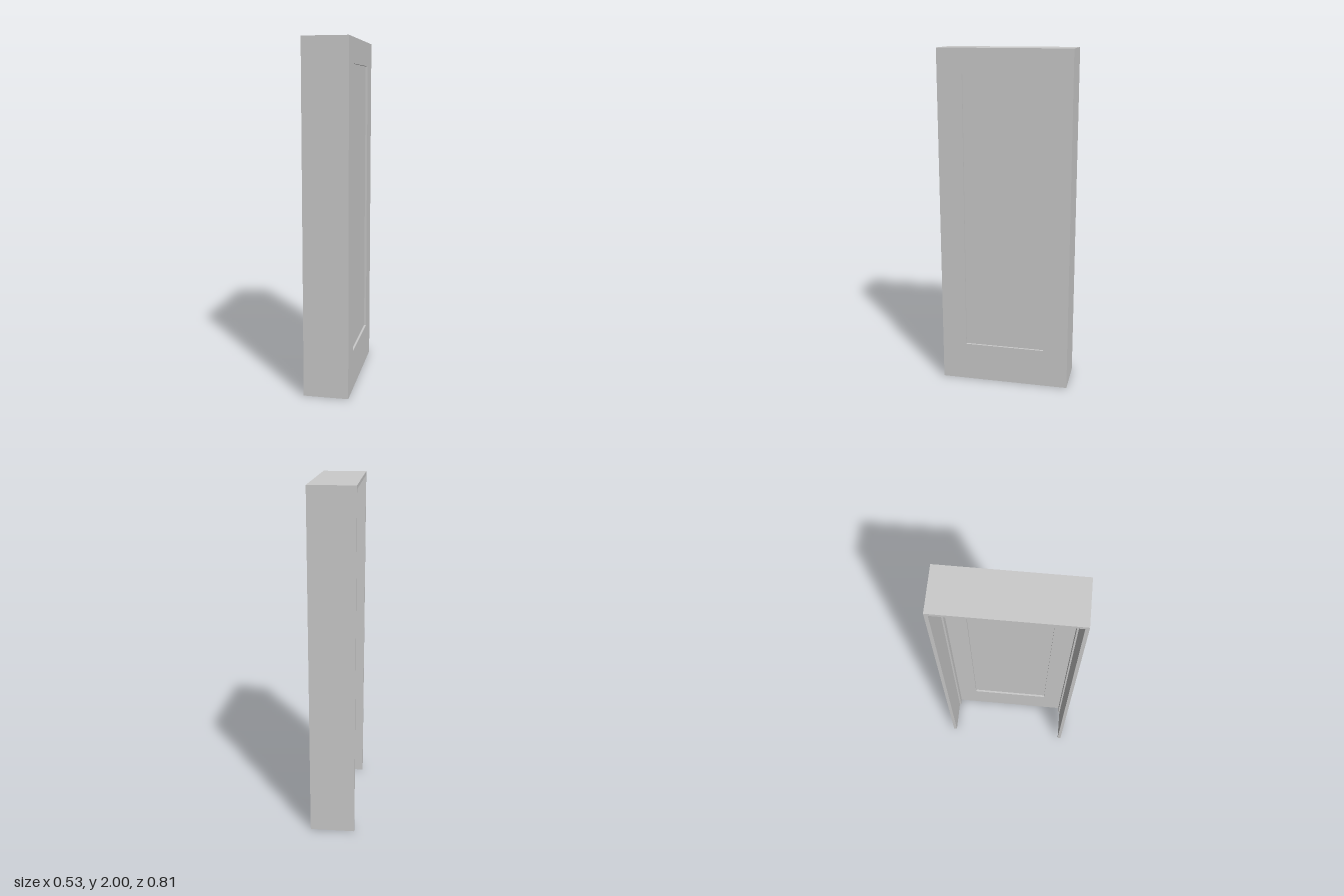
import * as THREE from 'three';

const H = 2, L = 0.769, W = 0.258;  // height, width of the door side, depth
const WALL = 0.02, DOOR = 0.035;    // casing and door thickness
const STOP = 0.01;                  // how far the stop stands inside the casing
const RECESS = 0.012;               // depth of the panel recess on both sides

// Extrudes a shape drawn in (z, y) inwards from x = outer
function extrudeIn(name, shape, outer, depth, material) {
  const geometry = new THREE.ExtrudeGeometry(shape, { depth, bevelEnabled: false });
  geometry.rotateY(-Math.PI / 2).translate(outer, 0, 0);
  const mesh = new THREE.Mesh(geometry, material);
  mesh.name = name;
  return mesh;
}

// Outline open at the floor: two uprights joined by a head
function arch(inset, t) {
  const a = L / 2 - inset, b = a - t, top = H - inset;
  return new THREE.Shape([
    [-a, 0], [-b, 0], [-b, top - t], [b, top - t], [b, 0], [a, 0], [a, top], [-a, top],
  ].map(([z, y]) => new THREE.Vector2(z, y)));
}

function rectangle(Type, z, y0, y1) {
  return new Type([[-z, y0], [z, y0], [z, y1], [-z, y1]].map(([a, b]) => new THREE.Vector2(a, b)));
}

export function createModel() {
  const model = new THREE.Group();
  model.name = 'doorway';
  const material = new THREE.MeshStandardMaterial({ color: 0xcccccc });
  const front = W / 2, back = front - DOOR;

  // Casing: side walls and top behind the door
  model.add(extrudeIn('casing', arch(0, WALL), back, W - DOOR, material));

  // Stop strip lining the casing against the door
  model.add(extrudeIn('doorStop', arch(WALL, STOP), back, DOOR, material));

  // Door frame with an opening, and the thinner panel set in it
  const panelZ = 0.239, panelBottom = 0.23, panelTop = 1.86;
  const frame = rectangle(THREE.Shape, L / 2, 0, H);
  frame.holes.push(rectangle(THREE.Path, panelZ, panelBottom, panelTop));
  model.add(extrudeIn('doorFrame', frame, front, DOOR, material));
  const panel = rectangle(THREE.Shape, panelZ, panelBottom, panelTop);
  model.add(extrudeIn('doorPanel', panel, front - RECESS, DOOR - 2 * RECESS, material));

  // The whole piece stands turned on the floor
  model.rotation.y = THREE.MathUtils.degToRad(22);
  const root = new THREE.Group();
  root.add(model);
  return root;
}
